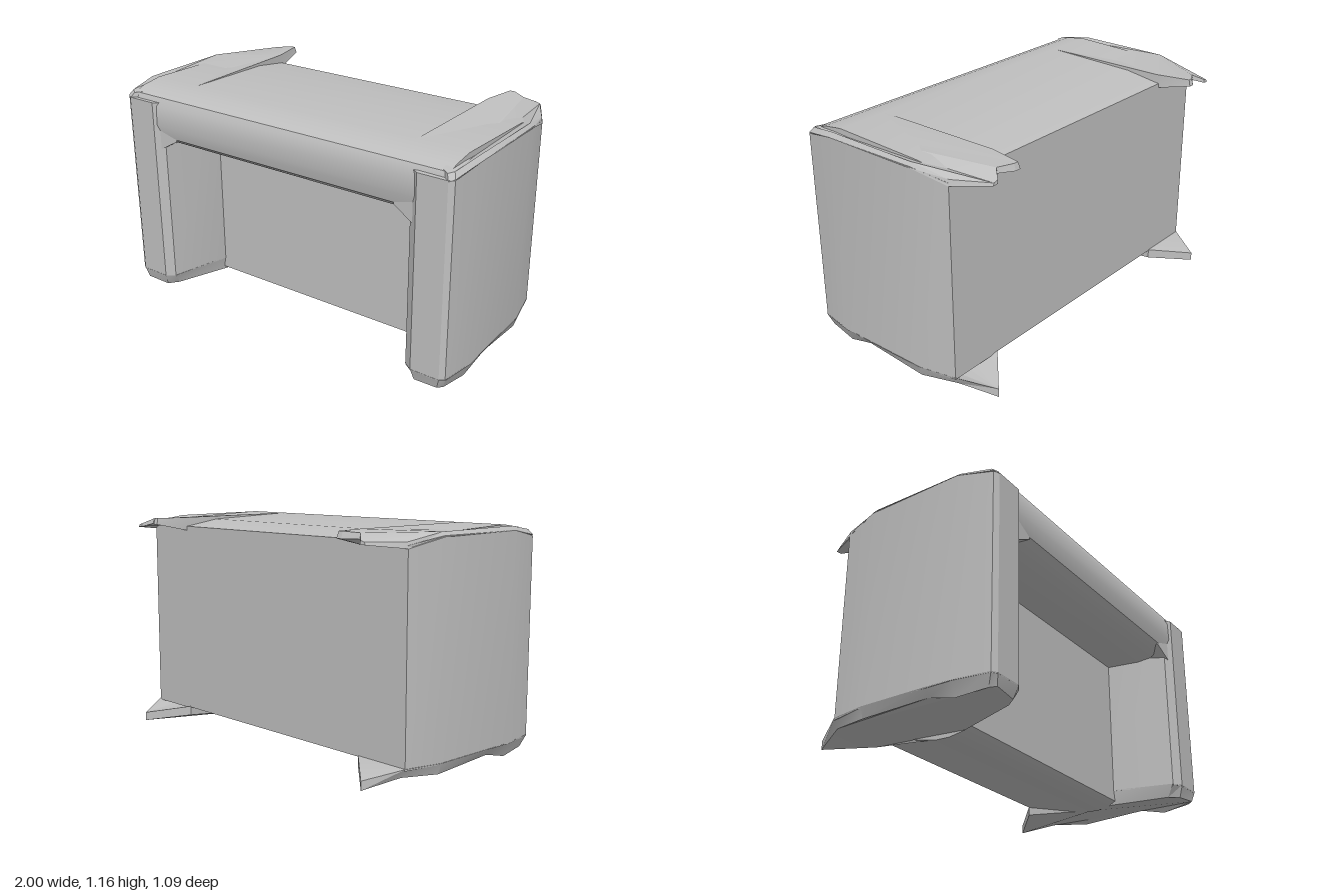
import * as THREE from 'three';
import { toCreasedNormals } from 'three/addons/utils/BufferGeometryUtils.js';

// Skin a stack of [x, y, z] rings (bottom first) and close both ends.
function loft(rings, side) {
  let rs = rings.map(r => r.map(([x, y, z]) => new THREE.Vector3(x * side, y, z)));
  const flat = r => r.map(p => new THREE.Vector2(p.z, p.x));
  if (THREE.ShapeUtils.area(flat(rs[0])) < 0) rs = rs.map(r => r.reverse());
  const pts = [];
  const n = rs[0].length;
  for (let k = 0; k < rs.length - 1; k++) {
    const lo = rs[k], hi = rs[k + 1];
    for (let i = 0; i < n; i++) {
      const j = (i + 1) % n;
      pts.push(lo[i], lo[j], hi[j], lo[i], hi[j], hi[i]);
    }
  }
  const bottom = rs[0], top = rs[rs.length - 1];
  THREE.ShapeUtils.triangulateShape(flat(bottom), []).forEach(([a, b, c]) => pts.push(bottom[a], bottom[c], bottom[b]));
  THREE.ShapeUtils.triangulateShape(flat(top), []).forEach(([a, b, c]) => pts.push(top[a], top[b], top[c]));
  return toCreasedNormals(new THREE.BufferGeometry().setFromPoints(pts), 0.35);
}

// Extrude a [z, y] profile across the width, centred on x = 0.
function acrossX(profile, width) {
  const shape = new THREE.Shape(profile.map(([z, y]) => new THREE.Vector2(-z, y)));
  const geo = new THREE.ExtrudeGeometry(shape, { depth: width, bevelEnabled: false });
  geo.translate(0, 0, -width / 2);
  geo.rotateY(Math.PI / 2);
  return toCreasedNormals(geo, 0.5);
}

export function createModel() {
  const group = new THREE.Group();
  const grey = new THREE.MeshStandardMaterial({ color: 0xbfbfbf });
  grey.name = 'grey';
  const add = (name, geo) => {
    const mesh = new THREE.Mesh(geo, grey);
    mesh.name = name;
    group.add(mesh);
  };

  // Desk top with a rounded front edge, running over both legs
  add('deskTop', acrossX([
    [-0.37, 1.11], [-0.17, 1.142], [0.34, 1.16], [0.45, 1.145], [0.51, 1.125], [0.53, 1.08],
    [0.532, 0.98], [0.515, 0.915], [0.46, 0.875], [0.36, 0.852], [0.2, 0.845], [-0.37, 0.845],
  ], 1.87));

  // Thick recessed body with a keel-shaped underside
  add('centreBody', acrossX([
    [-0.37, 0.86], [-0.37, 0.095], [-0.1, 0.025], [0, 0.003], [0.08, 0], [0.15, 0.012],
    [0.19, 0.035], [0.19, 0.86],
  ], 1.34));

  // Plan outline of a side wall
  const wall = [
    [0.66, -0.37], [0.955, -0.37], [0.995, -0.17], [1, 0.34], [0.97, 0.525], [0.945, 0.542],
    [0.79, 0.542], [0.745, 0.51], [0.66, 0.19],
  ];
  // Corner cap: lower and upper rims, with the two-pointed fin at the back
  const capLow = [
    [0.66, 1.085, -0.36], [0.69, 1.125, -0.545], [0.72, 1.125, -0.545], [0.79, 1.125, -0.5],
    [0.835, 1.107, -0.545], [0.865, 1.105, -0.545], [0.957, 1.085, -0.37], [0.997, 1.13, -0.17],
    [1, 1.135, 0.34], [0.971, 1.105, 0.525], [0.946, 1.095, 0.543], [0.66, 1.1, 0.34],
  ];
  const capHigh = [
    [0.66, 1.158, -0.36], [0.695, 1.158, -0.535], [0.72, 1.158, -0.535], [0.79, 1.152, -0.495],
    [0.835, 1.125, -0.543], [0.86, 1.118, -0.543], [0.95, 1.115, -0.37], [0.98, 1.152, -0.17],
    [0.98, 1.156, 0.34], [0.955, 1.132, 0.505], [0.93, 1.124, 0.525], [0.66, 1.16, 0.34],
  ];
  // Foot: one pointed heel at the back
  const footLow = [
    [0.66, 0.05, -0.37], [0.85, 0.015, -0.545], [0.93, 0.055, -0.37], [0.98, 0.04, -0.17],
    [0.97, 0.055, 0.2], [0.97, 0.02, 0.34], [0.95, 0.035, 0.5], [0.93, 0.04, 0.53],
    [0.8, 0.03, 0.52], [0.76, 0.03, 0.47], [0.67, 0.015, 0.17], [0.66, 0.003, 0.05],
  ];
  const footHigh = [
    [0.66, 0.1, -0.37], [0.85, 0.06, -0.545], [0.957, 0.1, -0.37], [0.997, 0.095, -0.17],
    [1, 0.095, 0.2], [1, 0.095, 0.34], [0.971, 0.095, 0.526], [0.946, 0.095, 0.543],
    [0.79, 0.095, 0.543], [0.743, 0.095, 0.51], [0.66, 0.095, 0.19], [0.655, 0.095, 0.05],
  ];
  // Sloping bracket where the leg meets the desk top
  const bracket = [[0.66, 0.2], [0.66, 0.515], [0.78, 0.525], [0.78, 0.2]];

  for (const [label, side] of [['left', 1], ['right', -1]]) {
    const topOf = z => (z < -0.3 || z > 0.45 ? 1.1 : 1.135);
    add(label + 'Wall', loft([
      wall.map(([x, z]) => [x, 0.09, z]),
      wall.map(([x, z]) => [x, topOf(z), z]),
    ], side));
    add(label + 'Cap', loft([capLow, capHigh], side));
    add(label + 'Foot', loft([footLow, footHigh], side));
    add(label + 'Bracket', loft([
      bracket.map(([x, z]) => [x, x < 0.7 ? 0.905 : 0.835, z]),
      bracket.map(([x, z]) => [x, 0.95, z]),
    ], side));
  }
  return group;
}
